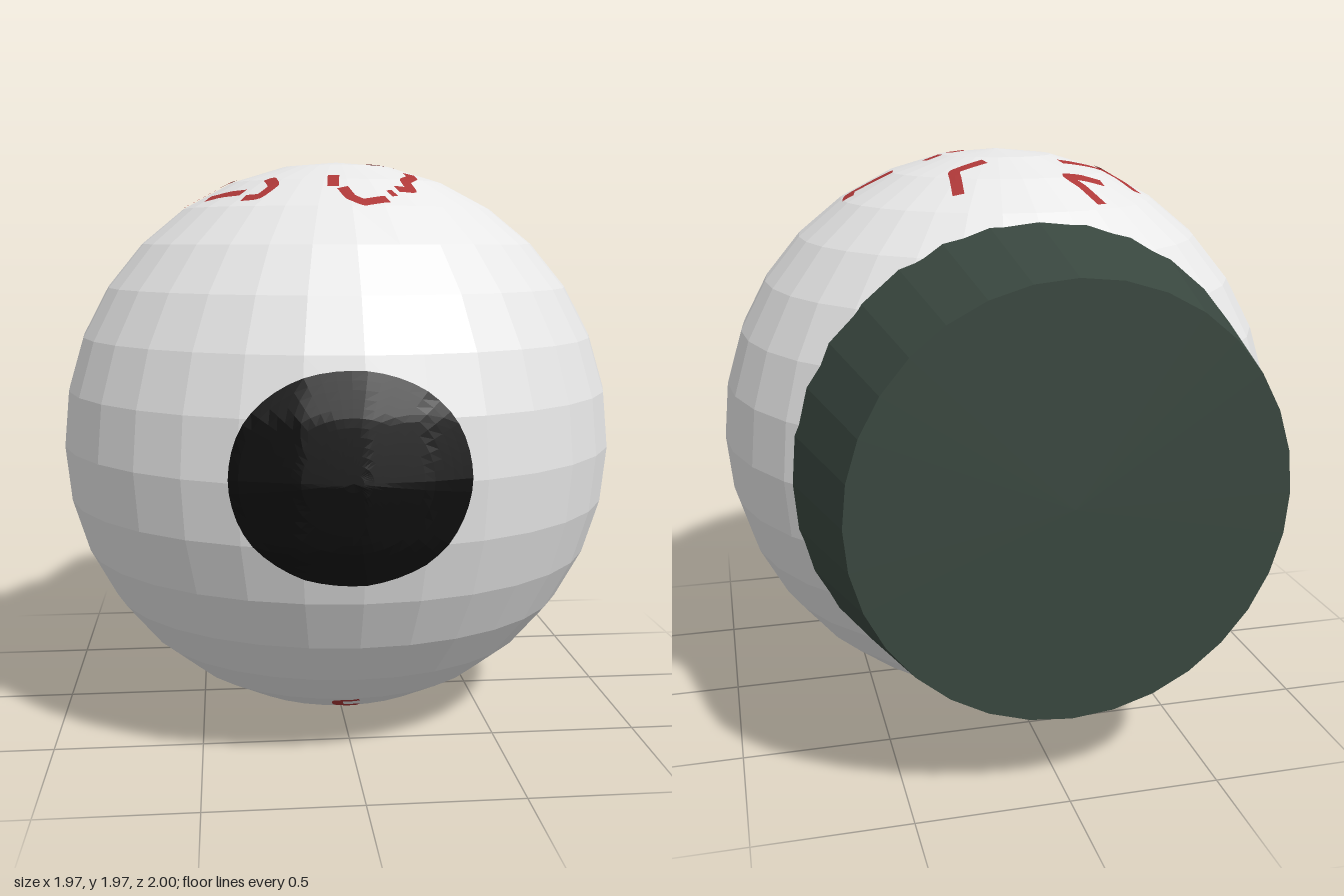
import * as THREE from 'three';
import { mergeGeometries } from 'three/addons/utils/BufferGeometryUtils.js';

const R = 0.985, COLS = 32, ROWS = 16;
const STEP = Math.PI / ROWS; // same angle for rows and columns

// Corner of the faceted ball
function corner(row, col) {
  return new THREE.Vector3().setFromSphericalCoords(R, row * STEP, col * STEP);
}

// Point just above the ball's flat facets in a given direction
function onFacet(dir, lift = 0.004) {
  const d = dir.clone().normalize();
  const s = new THREE.Spherical().setFromVector3(d);
  const row = Math.min(ROWS - 1, Math.floor(s.phi / STEP));
  const col = Math.floor(s.theta / STEP);
  const wide = row < ROWS / 2 ? row + 1 : row;
  const narrow = row < ROWS / 2 ? row : row + 1;
  const plane = new THREE.Plane().setFromCoplanarPoints(
    corner(wide, col), corner(wide, col + 1), corner(narrow, col));
  const dist = -plane.constant / plane.normal.dot(d);
  return d.multiplyScalar(dist + lift);
}

// Surface from equal rows of points
function sheet(rows) {
  const n = rows[0].length, index = [];
  for (let i = 0; i < rows.length - 1; i++) {
    for (let j = 0; j < n - 1; j++) {
      const a = i * n + j, b = a + n;
      index.push(a, b, a + 1, b, b + 1, a + 1);
    }
  }
  const g = new THREE.BufferGeometry().setFromPoints(rows.flat());
  g.setIndex(index);
  g.computeVertexNormals();
  return g;
}

// Thin ribbon along x,z points on the upper (side 1) or lower (side -1) half
function vein(points, side, width = 0.038) {
  const path = new THREE.CatmullRomCurve3(
    points.map(([x, z]) => new THREE.Vector3(x, 0, z)), false, 'catmullrom', 0.2);
  const n = (points.length - 1) * 8, rows = [];
  for (let i = 0; i <= n; i++) {
    const p = path.getPoint(i / n), t = path.getTangent(i / n);
    rows.push([-0.5, 0, 0.5].map((k) => {
      const x = p.x - t.z * k * width, z = p.z + t.x * k * width;
      return onFacet(new THREE.Vector3(x, side * Math.sqrt(R * R - x * x - z * z), z));
    }));
  }
  return sheet(side > 0 ? rows : rows.reverse());
}

const UPPER_VEINS = [
  [[-0.24, -0.47], [-0.2, -0.39], [-0.16, -0.34], [-0.29, -0.32]],
  [[-0.44, -0.25], [-0.4, -0.17], [-0.31, -0.14], [-0.18, -0.19]],
  [[-0.54, 0.06], [-0.36, -0.01]],
  [[-0.46, 0.2], [-0.34, 0.32]],
  [[-0.34, 0.37], [-0.29, 0.4], [-0.24, 0.35], [-0.25, 0.28]],
  [[-0.04, 0.34], [-0.05, 0.43]],
  [[-0.02, 0.44], [0, 0.5], [0.04, 0.53], [0.12, 0.5]],
  [[0.23, 0.21], [0.23, 0.28], [0.2, 0.34], [0.21, 0.4], [0.16, 0.42]],
  [[0.13, 0.46], [0.15, 0.45]],
  [[0.11, 0.015], [0.17, 0]],
  [[0.2, -0.02], [0.26, -0.035]],
  [[0.37, -0.04], [0.51, 0], [0.53, -0.06]],
  [[0.22, -0.41], [0.21, -0.32], [0.2, -0.26], [0.09, -0.22]],
];
const LOWER_VEINS = [
  [[0.39, 0.32], [0.43, 0.2], [0.42, 0.09], [0.32, 0.01]],
  [[0.23, -0.46], [0.24, -0.36], [0.23, -0.24], [0.11, -0.2]],
  [[-0.05, -0.52], [-0.04, -0.46]],
  [[-0.3, -0.45], [-0.25, -0.34], [-0.17, -0.24]],
  [[-0.49, 0.08], [-0.38, 0.13], [-0.28, 0.17]],
  [[0.03, 0.53], [-0.04, 0.51], [-0.03, 0.43], [0.04, 0.41]],
  [[-0.49, -0.18], [-0.47, -0.16]],
];

function material(name, color, extra = {}) {
  const m = new THREE.MeshStandardMaterial({ color, flatShading: true, ...extra });
  m.name = name;
  return m;
}

export function createModel() {
  const white = material('white', 0xe7e7e7);
  const black = material('black', 0x0d0d0d, { side: THREE.DoubleSide });
  const red = material('red', 0xad3838, { side: THREE.DoubleSide });
  const green = material('darkGreen', 0x39473f);

  const model = new THREE.Group();
  model.name = 'eyeball';
  const add = (name, geometry, mat) => {
    const mesh = new THREE.Mesh(geometry, mat);
    mesh.name = name;
    mesh.position.set(0, 0.985, 0.01);
    model.add(mesh);
    return mesh;
  };

  add('ball', new THREE.SphereGeometry(R, COLS, ROWS), white);

  // Pupil: rounded patch hugging the front facets
  const rings = [];
  for (let i = 0; i <= 12; i++) {
    const ring = [];
    for (let j = 0; j <= 48; j++) {
      const a = (j / 48) * Math.PI * 2, c = Math.cos(a), s = Math.sin(a);
      const k = (i / 12) / Math.pow(Math.abs(c) ** 2.1 + Math.abs(s) ** 2.1, 1 / 2.1);
      const x = -0.04 + 0.365 * k * c, y = 0.01 + 0.325 * k * s;
      ring.push(onFacet(new THREE.Vector3(x, y, Math.sqrt(R * R - x * x - y * y))));
    }
    rings.push(ring);
  }
  add('pupil', sheet(rings), black);

  // Veins around the top and the underside
  add('upperVeins', mergeGeometries(UPPER_VEINS.map((v) => vein(v, 1))), red);
  add('lowerVeins', mergeGeometries(LOWER_VEINS.map((v) => vein(v, -1))), red);

  // Tapered stalk at the back, its wide end sunk into the ball
  const stalk = new THREE.CylinderGeometry(0.815, 0.69, 0.52, 32);
  stalk.rotateX(Math.PI / 2);
  add('stalk', stalk, green).position.z = -0.74;

  return model;
}
